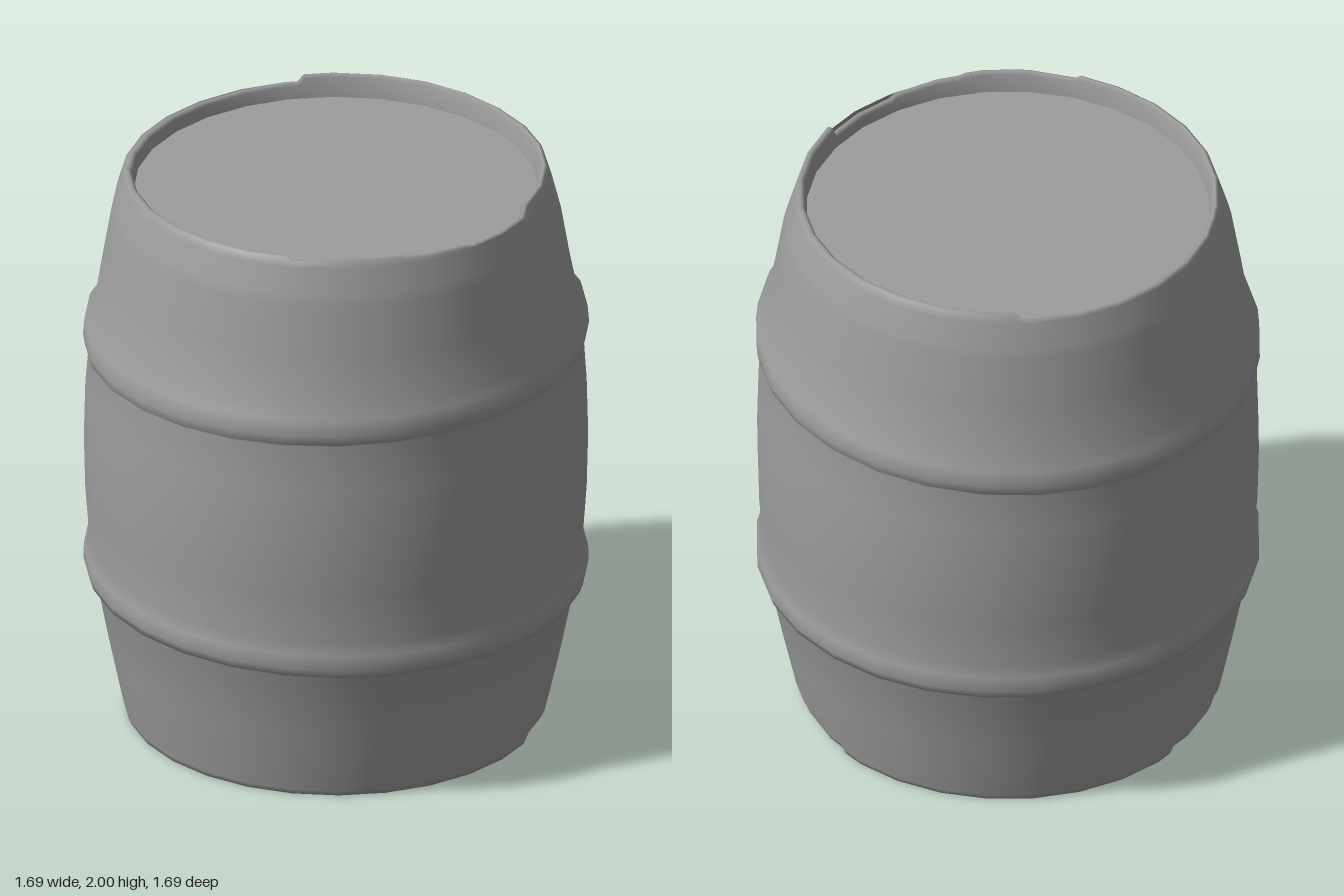
import * as THREE from 'three';

const SIDES = 28, SUB = 8;
const material = new THREE.MeshStandardMaterial({ color: 0x9d9d9d });

// Chipped rims: [angle in degrees from the front towards +x, depth of the chip]
const TOP_CHIPS = [[0, 0.003], [12, 0], [12, 0.015], [30, 0.004], [44, 0.008], [45, 0.015], [64, 0.025],
  [65, 0.035], [89, 0.038], [89, 0], [125, 0.002], [150, 0.006], [180, 0], [215, 0], [215, 0.025],
  [240, 0.03], [270, 0.03], [294, 0.025], [294, 0.01], [330, 0.006], [360, 0.003]];
const BOTTOM_CHIPS = [[0, 0], [89, 0], [89, 0.025], [112, 0.02], [112, 0.035], [115, 0.035], [115, 0.01],
  [138, 0.014], [138, 0.025], [160, 0.015], [160, 0], [262, 0], [262, 0.02], [292, 0.015], [292, 0], [360, 0]];

function chipDepth(chips, deg) {
  for (let i = 1; i < chips.length; i++) {
    const [a0, d0] = chips[i - 1], [a1, d1] = chips[i];
    if (deg <= a1) return d0 + (d1 - d0) * (deg - a0) / (a1 - a0);
  }
  return 0;
}

// Runs from the bottom recess over the rim, both hoops and the other rim into the top recess
const PROFILE = [
  [0.675, 0.08], [0.678, 0.02], [0.685, 0.003], [0.703, 0], [0.712, 0.02],
  [0.76, 0.25], [0.808, 0.495],
  [0.832, 0.505], [0.843, 0.535], [0.842, 0.59], [0.824, 0.625],
  [0.837, 0.8], [0.842, 1], [0.837, 1.2], [0.826, 1.35],
  [0.839, 1.362], [0.845, 1.395], [0.84, 1.455], [0.812, 1.49],
  [0.78, 1.67], [0.751, 1.84], [0.741, 1.88],
  [0.715, 1.965], [0.706, 1.995], [0.695, 2], [0.683, 1.99], [0.675, 1.92],
];

function wallGeometry() {
  const geo = new THREE.LatheGeometry(PROFILE.map(([r, y]) => new THREE.Vector2(r, y)), SIDES * SUB);
  const pos = geo.attributes.position, step = Math.PI * 2 / SIDES;
  for (let i = 0; i < pos.count; i++) {
    const x = pos.getX(i), y = pos.getY(i), z = pos.getZ(i);
    // Flatten the fine steps onto a 28-sided outline
    const part = (Math.floor(i / PROFILE.length) % SUB) / SUB;
    const k = Math.cos(step / 2) / Math.cos((part - 0.5) * step);
    pos.setX(i, x * k);
    pos.setZ(i, z * k);
    // Tilt the hoops a little
    if (y > 1.34 && y < 1.5) pos.setY(i, y + 0.025 * x);
    if (y > 0.49 && y < 0.63) pos.setY(i, y - 0.013 * x);
    // Chip the rims
    const deg = (THREE.MathUtils.radToDeg(Math.atan2(x, z)) + 360) % 360;
    if (y > 1.97) pos.setY(i, y - chipDepth(TOP_CHIPS, deg));
    if (y < 0.03) pos.setY(i, y + chipDepth(BOTTOM_CHIPS, deg));
  }
  return geo;
}

export function createModel() {
  const barrel = new THREE.Group();
  barrel.name = 'barrel';

  // Bulging wall with rounded hoops
  const wall = new THREE.Mesh(wallGeometry(), material);
  wall.name = 'wallWithHoops';
  barrel.add(wall);

  // Sunken lids
  for (const [name, y, turn] of [['topLid', 1.92, -1], ['bottomLid', 0.08, 1]]) {
    const lid = new THREE.Mesh(new THREE.CircleGeometry(0.677, SIDES), material);
    lid.rotation.x = turn * Math.PI / 2;
    lid.position.y = y;
    lid.name = name;
    barrel.add(lid);
  }
  return barrel;
}
